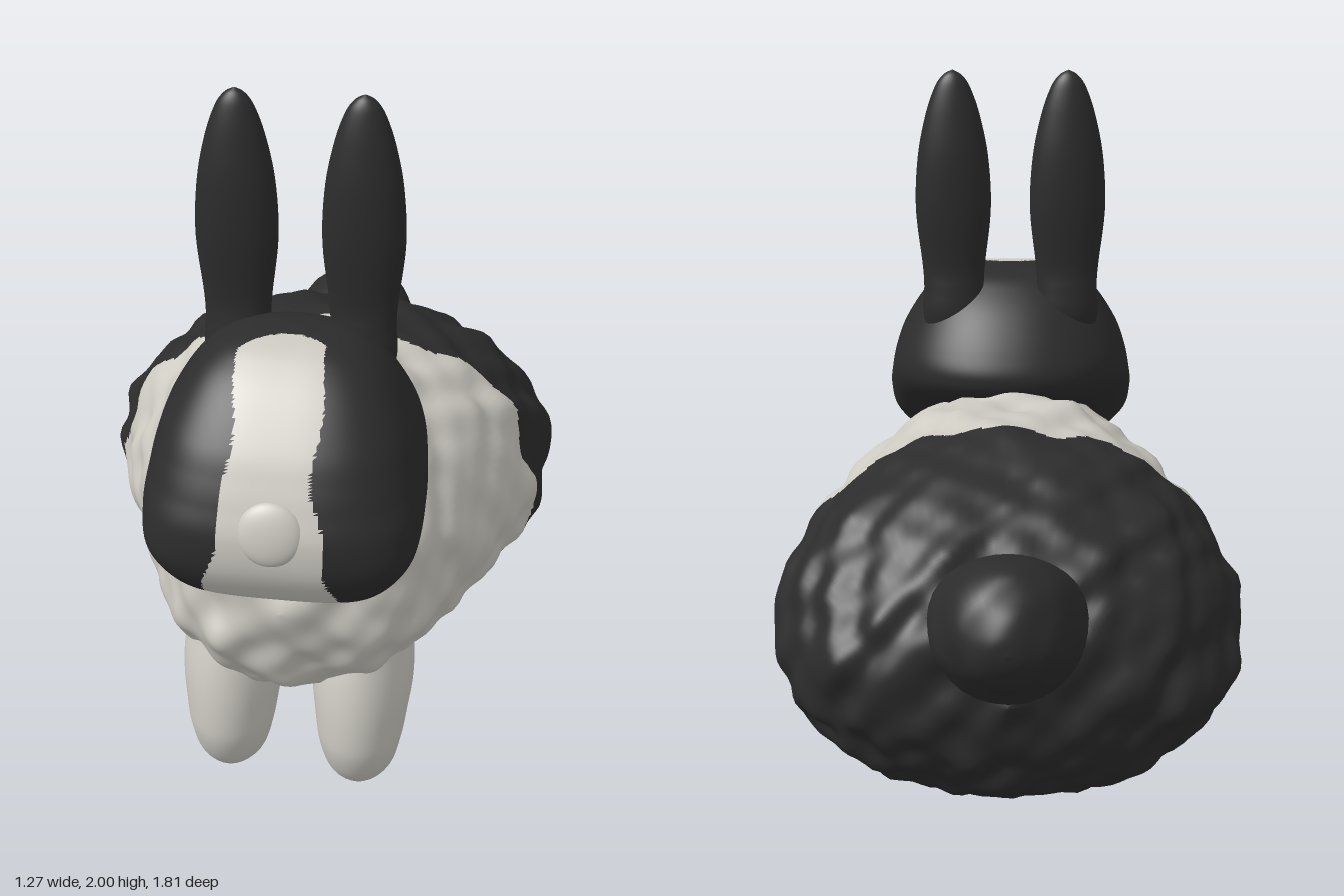
import * as THREE from 'three';

const black = new THREE.MeshStandardMaterial({ color: 0x2c2c2c });
black.name = 'black fur';
const white = new THREE.MeshStandardMaterial({ color: 0xcdcac2 });
white.name = 'white fur';

// Lumpy fur: a wavy value for each point
const lumps = (x, y, z) =>
  Math.sin(17 * x + 1) * Math.sin(16 * y) * Math.sin(15 * z + 0.5)
  + Math.sin(24 * x + 5 * y) * Math.sin(23 * y + 2 - 6 * z) * Math.sin(22 * z + 7 * x)
  + 0.6 * Math.sin(37 * x + 2) * Math.sin(35 * y + 9 * x) * Math.sin(33 * z + 1);

// Smooth loft through rows [position on axis, half width, low, high].
// Axis 'y' rows ascend with low/high in z; axis 'z' rows descend with low/high in y.
function loft(rows, axis, rings, sides, power = () => 2, bump = 0) {
  const curve = (f) => new THREE.CatmullRomCurve3(rows.map(f), false, 'catmullrom', 0.5);
  const spine = curve((r) => new THREE.Vector3(r[0], 0, 0));
  const section = curve((r) => new THREE.Vector3(r[1], r[2], r[3]));
  const pos = [], index = [];
  const pw = (v, p) => Math.sign(v) * Math.abs(v) ** (2 / p);
  for (let i = 0; i <= rings; i++) {
    const t = spine.getPoint(i / rings).x;
    const s = section.getPoint(i / rings);
    for (let j = 0; j < sides; j++) {
      const a = (j / sides) * Math.PI * 2;
      const p = power(Math.sin(a));
      const x = s.x * pw(Math.cos(a), p);
      const w = (s.y + s.z) / 2 + ((s.z - s.y) / 2) * pw(Math.sin(a), p);
      const [y, z] = axis === 'y' ? [t, w] : [w, t];
      const k = 1 + bump * lumps(x, y, z);
      pos.push(x * k, 0.6 + (y - 0.6) * k, z * k);
      if (i < rings) {
        const n = (j + 1) % sides, b = i * sides, c = b + sides;
        index.push(b + j, c + j, b + n, b + n, c + j, c + n);
      }
    }
  }
  const g = new THREE.BufferGeometry();
  g.setAttribute('position', new THREE.Float32BufferAttribute(pos, 3));
  g.setIndex(index);
  g.computeVertexNormals();
  return g;
}

// Sort faces into a white group and a black group by their centre
function paint(g, isWhite) {
  const p = g.attributes.position, idx = g.index.array;
  const lists = [[], []];
  const mid = (i, get) => (p[get](idx[i]) + p[get](idx[i + 1]) + p[get](idx[i + 2])) / 3;
  for (let i = 0; i < idx.length; i += 3) {
    const w = isWhite(mid(i, 'getX'), mid(i, 'getY'), mid(i, 'getZ'));
    lists[w ? 0 : 1].push(idx[i], idx[i + 1], idx[i + 2]);
  }
  g.setIndex([...lists[0], ...lists[1]]);
  g.addGroup(0, lists[0].length, 0);
  g.addGroup(lists[0].length, lists[1].length, 1);
  return g;
}

export function createModel() {
  const model = new THREE.Group();
  const add = (name, geometry, material, x = 0, y = 0, z = 0) => {
    const m = new THREE.Mesh(geometry, material);
    m.name = name;
    m.position.set(x, y, z);
    model.add(m);
    return m;
  };

  // Body, white in front and black behind
  const body = loft([
    [0.72, 0, 0.69, 0.69], [0.7, 0.16, 0.56, 0.8], [0.64, 0.27, 0.42, 0.91],
    [0.55, 0.345, 0.33, 0.99], [0.4, 0.41, 0.25, 1.06], [0.2, 0.48, 0.18, 1.1],
    [0, 0.555, 0.15, 1.11], [-0.15, 0.61, 0.125, 1.11], [-0.3, 0.63, 0.125, 1.08],
    [-0.45, 0.605, 0.16, 1.02], [-0.58, 0.52, 0.24, 0.93], [-0.66, 0.41, 0.34, 0.83],
    [-0.7, 0.3, 0.42, 0.74], [-0.73, 0, 0.57, 0.57],
  ], 'z', 220, 130, () => 2, 0.025);
  add('body', paint(body, (x, y, z) =>
    z > -0.12 + 0.03 * Math.sin(13 * x + 2) * Math.cos(9 * y) + 0.015 * Math.sin(23 * x + 19 * y)), [white, black]);

  // Tail, broad at the base
  add('tail', loft([
    [-0.5, 0.16, 0.64, 0.88], [-0.6, 0.215, 0.57, 0.94], [-0.7, 0.2, 0.56, 0.965],
    [-0.78, 0.165, 0.62, 0.955], [-0.85, 0.115, 0.68, 0.9], [-0.89, 0.055, 0.74, 0.84],
    [-0.9, 0, 0.79, 0.79],
  ], 'z', 40, 40, () => 2, 0.01), black);

  // Head with a white blaze down the face
  const head = loft([
    [0.76, 0, 0.7, 0.7], [0.772, 0.18, 0.66, 0.77], [0.81, 0.27, 0.61, 0.83],
    [0.9, 0.345, 0.49, 0.88], [1.0, 0.36, 0.33, 0.887], [1.08, 0.352, 0.205, 0.862],
    [1.14, 0.34, 0.172, 0.835], [1.21, 0.315, 0.2, 0.795], [1.3, 0.262, 0.265, 0.72],
    [1.36, 0.205, 0.33, 0.65], [1.395, 0.13, 0.39, 0.58], [1.407, 0, 0.47, 0.47],
  ], 'y', 100, 200, (s) => (s > 0 ? 3.1 : 2.1));
  add('head', paint(head, (x, y, z) => {
    const edge = 0.103 + 0.17 * Math.max(0, 1.12 - y) ** 0.9 + 0.01 * Math.sin(24 * y + (x > 0 ? 2 : 0)) + (x < 0 ? 0.014 : 0);
    return Math.abs(x) < edge && z > 0.52 + 4 * x * x * (y > 1.3 ? 1 : 0);
  }), [white, black]);
  const nose = add('nose', new THREE.SphereGeometry(0.085, 32, 20), white, 0, 1.025, 0.868);
  nose.scale.z = 0.36;
  nose.rotation.x = -0.2;

  // Ears and front legs, one on each side
  const ear = loft([
    [1.22, 0.08, -0.045, 0.06], [1.3, 0.09, -0.06, 0.065], [1.37, 0.086, -0.055, 0.055],
    [1.44, 0.09, -0.05, 0.05], [1.6, 0.107, -0.064, 0.064], [1.75, 0.1, -0.064, 0.064],
    [1.87, 0.077, -0.05, 0.05], [1.95, 0.05, -0.033, 0.033], [1.985, 0.026, -0.018, 0.018],
    [2, 0, 0, 0],
  ], 'y', 50, 32);
  const leg = loft([
    [0, 0, -0.01, -0.01], [0.015, 0.045, -0.06, 0.06], [0.06, 0.092, -0.12, 0.11],
    [0.14, 0.115, -0.155, 0.145], [0.22, 0.128, -0.2, 0.15], [0.32, 0.14, -0.26, 0.14],
    [0.42, 0.13, -0.28, 0.115], [0.52, 0.1, -0.25, 0.07], [0.62, 0, -0.05, -0.05],
  ], 'y', 40, 32);
  for (const [side, s] of [['left', 1], ['right', -1]]) {
    add(side + 'Ear', ear, black, 0.163 * s, 0, 0.37);
    add(side + 'FrontLeg', leg, white, 0.18 * s, s > 0 ? 0 : 0.02, 0.485);
  }
  return model;
}
